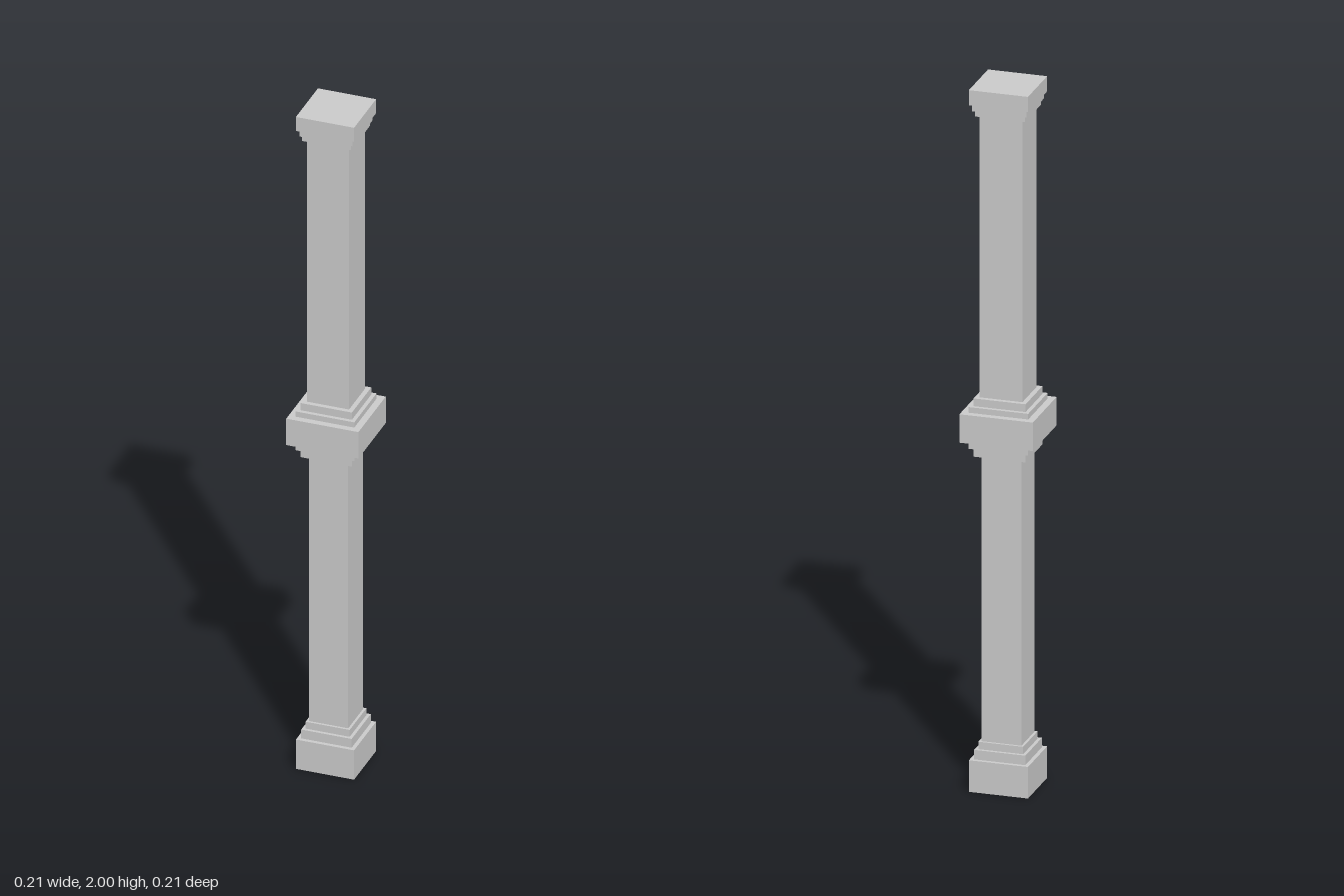
import * as THREE from 'three';

// Square tiers from the ground up: name, half width, bottom, top
const TIERS = [
  ['plinth', 0.083, 0, 0.09],
  ['baseLowerStep', 0.072, 0.09, 0.117],
  ['baseUpperStep', 0.063, 0.117, 0.138],
  ['lowerShaft', 0.056, 0.138, 0.953],
  ['collarLowerStep', 0.073, 0.953, 0.978],
  ['collarLowerLedge', 0.084, 0.978, 1.0],
  ['collarBlock', 0.103, 1.0, 1.081],
  ['collarUpperLedge', 0.084, 1.081, 1.097],
  ['collarUpperStep', 0.073, 1.097, 1.119],
  ['upperShaft', 0.06, 1.119, 1.922],
  ['capitalLowerStep', 0.07, 1.922, 1.938],
  ['capitalUpperStep', 0.076, 1.938, 1.957],
  ['capitalBlock', 0.083, 1.957, 2.0],
];

export function createModel() {
  const group = new THREE.Group();
  group.name = 'squareColumn';
  const material = new THREE.MeshStandardMaterial({ color: 0xcccccc, flatShading: true });

  // Stack the tiers into one post
  for (const [name, half, bottom, top] of TIERS) {
    const mesh = new THREE.Mesh(new THREE.BoxGeometry(half * 2, top - bottom, half * 2), material);
    mesh.name = name;
    mesh.position.y = (bottom + top) / 2;
    group.add(mesh);
  }
  return group;
}
